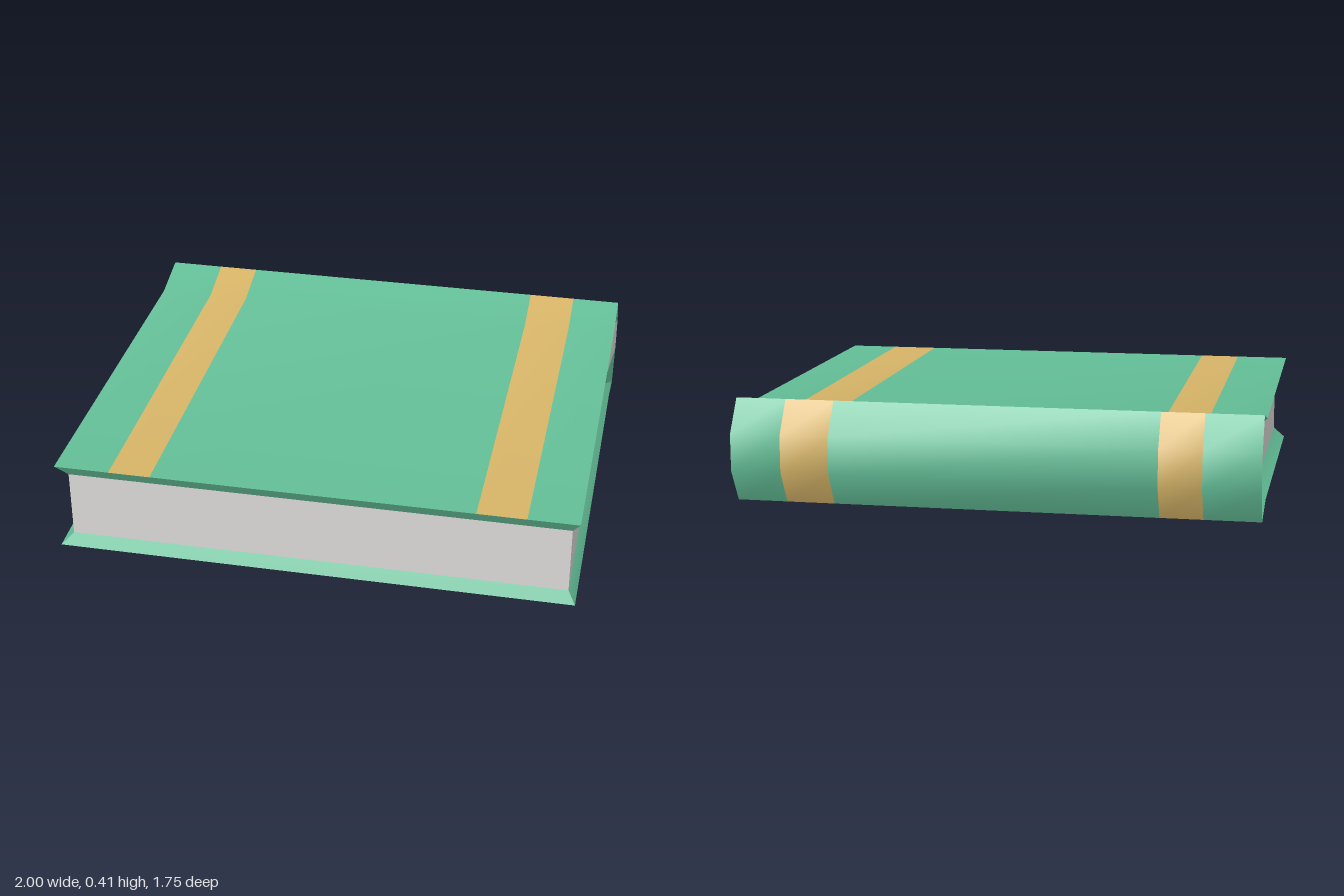
import * as THREE from 'three';
import { toCreasedNormals } from 'three/addons/utils/BufferGeometryUtils.js';

const mat = (name, color) => {
  const m = new THREE.MeshStandardMaterial({ color });
  m.name = name;
  return m;
};

// Makes a mesh from convex faces, each a list of [x, y, z] corners
function faceMesh(name, faces, material) {
  const pos = [];
  for (const f of faces)
    for (let i = 1; i < f.length - 1; i++) pos.push(...f[0], ...f[i], ...f[i + 1]);
  const g = new THREE.BufferGeometry();
  g.setAttribute('position', new THREE.Float32BufferAttribute(pos, 3));
  const mesh = new THREE.Mesh(toCreasedNormals(g, 0.62), material);
  mesh.name = name;
  return mesh;
}

export function createModel() {
  const green = mat('cover green', 0x63be97);
  const gold = mat('band gold', 0xd6b467);
  const paper = mat('paper', 0xdad9d6);
  const book = new THREE.Group();
  book.name = 'book';

  // Cover profile [z, y]: front top, hinge, ridge, spine, and back along the bottom
  const outer = [[0.86, 0.355], [-0.59, 0.362], [-0.778, 0.41], [-0.862, 0.285],
    [-0.862, 0.145], [-0.787, 0.018], [-0.59, 0.055], [0.86, 0]];
  // Page block profile [z, y]; it meets the cover at the spine
  const inner = [[0.833, 0.31], [-0.59, 0.325], [-0.862, 0.285],
    [-0.862, 0.145], [-0.637, 0.08], [0.833, 0.045]];
  const W = 0.987;
  const at = (x, [z, y]) => [x, y, z];

  // Outer cover wrapped around the spine, split along x into cloth and bands
  const cuts = [-W, -0.775, -0.615, 0.61, 0.795, W];
  for (let s = 0; s < cuts.length - 1; s++) {
    const a = cuts[s], b = cuts[s + 1], faces = [];
    for (let i = 0; i < outer.length - 1; i++)
      faces.push([at(a, outer[i]), at(b, outer[i]), at(b, outer[i + 1]), at(a, outer[i + 1])]);
    book.add(faceMesh(s % 2 ? 'goldBand' : 'cover', faces, s % 2 ? gold : green));
  }

  // Sloped cover rims and page sides on both ends
  const pageX = { '-1': -0.942, '1': 0.958 };
  for (const side of [1, -1]) {
    const O = outer.map(p => at(side * W, p));
    const I = inner.map((p, i) => at(i === 2 || i === 3 ? side * W : pageX[side], p));
    const wind = faces => side > 0 ? faces : faces.map(f => f.slice().reverse());
    book.add(faceMesh('coverSideRim', wind([
      [O[0], I[0], I[1], O[1]], [O[1], I[1], O[2]], [O[2], I[1], O[3]],
      [I[5], O[7], O[6], I[4]], [I[4], O[6], O[5]], [I[4], O[5], O[4]],
    ]), green));
    book.add(faceMesh('pageSide', wind([
      [I[0], I[5], I[4], I[1]], [I[1], I[4], I[3], I[2]],
    ]), paper));
  }

  // Front rims and the front edge of the pages
  const l = pageX[-1], r = pageX[1];
  book.add(faceMesh('coverFrontRim', [
    [at(l, inner[0]), at(r, inner[0]), at(W, outer[0]), at(-W, outer[0])],
    [at(-W, outer[7]), at(W, outer[7]), at(r, inner[5]), at(l, inner[5])],
  ], green));
  book.add(faceMesh('pageFront', [
    [at(l, inner[5]), at(r, inner[5]), at(r, inner[0]), at(l, inner[0])],
  ], paper));

  // The book lies slightly turned
  book.rotation.y = 0.0135;
  const model = new THREE.Group();
  model.name = 'bookModel';
  model.add(book);
  return model;
}
